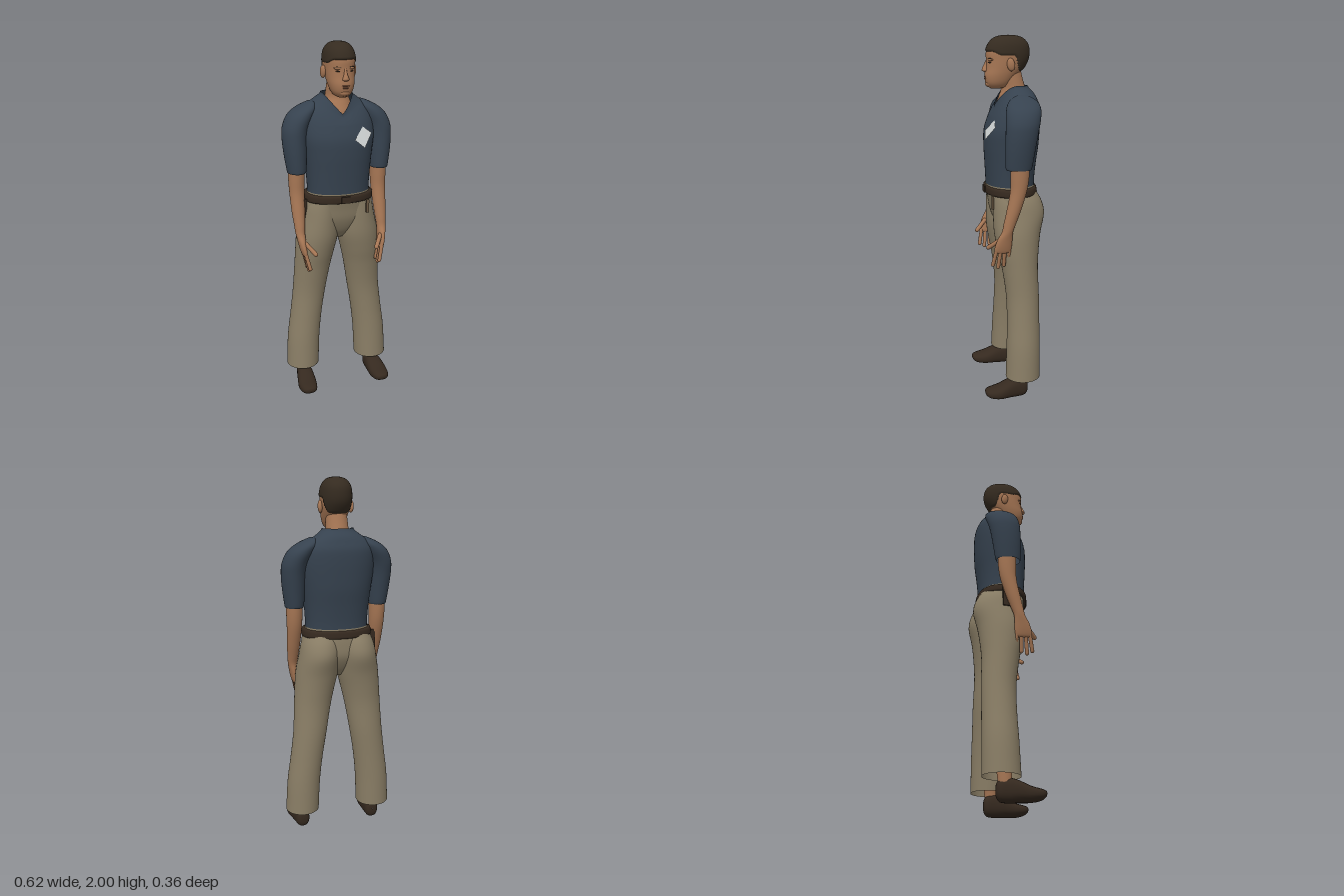
import * as THREE from 'three';

const mat = (name, color, side = THREE.FrontSide) => {
  const m = new THREE.MeshStandardMaterial({ color, side });
  m.name = name;
  return m;
};

// Smooth loft through horizontal ellipses [y, cx, cz, rx, rz], listed bottom to top.
// power < 1 squares the ellipse; shape(point, theta, centre) may move each vertex.
function loft(sections, { n = 32, per = 5, power = 1, s = 1, shape } = {}) {
  const V = THREE.Vector3;
  const path = new THREE.CatmullRomCurve3(sections.map(q => new V(q[1] * s, q[0], q[2])), false, 'catmullrom', 0.5);
  const radii = new THREE.CatmullRomCurve3(sections.map(q => new V(q[3], q[4], 0)), false, 'catmullrom', 0.5);
  const rows = (sections.length - 1) * per;
  const pos = [], idx = [];
  const bend = v => Math.sign(v) * Math.pow(Math.abs(v), power);
  for (let i = 0; i <= rows; i++) {
    const c = path.getPoint(i / rows), r = radii.getPoint(i / rows);
    for (let j = 0; j < n; j++) {
      const a = j / n * Math.PI * 2;
      const p = new V(c.x + Math.max(r.x, 0.0005) * bend(Math.cos(a)), c.y, c.z + Math.max(r.y, 0.0005) * bend(Math.sin(a)));
      if (shape) shape(p, a, c);
      pos.push(p.x, p.y, p.z);
      if (i < rows) {
        const A = i * n + j, B = i * n + (j + 1) % n, C = A + n, D = B + n;
        idx.push(A, C, B, B, C, D);
      }
    }
  }
  const g = new THREE.BufferGeometry();
  g.setAttribute('position', new THREE.Float32BufferAttribute(pos, 3));
  g.setIndex(idx);
  g.computeVertexNormals();
  return g;
}

export function createModel() {
  const root = new THREE.Group();
  const skin = mat('skin', 0xa67654);
  const lipColor = mat('lip brown', 0x855840);
  const hairColor = mat('hair brown', 0x352b20);
  const shirt = mat('navy cloth', 0x36424f, THREE.DoubleSide);
  const khaki = mat('khaki cloth', 0x8a7e66, THREE.DoubleSide);
  const leather = mat('dark leather', 0x35291f);
  const white = mat('badge white', 0xcdd1d1, THREE.DoubleSide);
  const strapColor = mat('strap brown', 0x6a5842);

  const add = (name, geo, material, parent = root) => {
    const m = new THREE.Mesh(geo, material);
    m.name = name;
    parent.add(m);
    return m;
  };
  const blob = (name, material, p, r) => {
    const m = add(name, new THREE.SphereGeometry(1, 20, 14), material);
    m.position.set(...p);
    m.scale.set(...r);
    return m;
  };
  const finger = (name, a, b, r, parent) => {
    const A = new THREE.Vector3(...a), B = new THREE.Vector3(...b), d = B.clone().sub(A);
    const m = add(name, new THREE.CapsuleGeometry(r, d.length() - r, 5, 12), skin, parent);
    m.position.copy(A).add(B).multiplyScalar(0.5);
    m.quaternion.setFromUnitVectors(new THREE.Vector3(0, 1, 0), d.normalize());
  };

  // Shirt body: the top rings dip at the front to make the V neck
  add('shirtBody', loft([
    [1.19, 0, -0.008, 0.172, 0.13], [1.25, 0, -0.008, 0.174, 0.132], [1.33, 0, -0.01, 0.18, 0.138],
    [1.42, 0, -0.014, 0.19, 0.146], [1.5, 0, -0.018, 0.2, 0.147], [1.57, 0, -0.03, 0.2, 0.137],
    [1.63, 0, -0.042, 0.19, 0.122], [1.67, 0, -0.045, 0.165, 0.105], [1.7, 0, -0.045, 0.125, 0.09],
    [1.725, 0, -0.038, 0.092, 0.074], [1.738, 0, -0.035, 0.085, 0.068]], {
    n: 48, power: 0.88,
    shape: (p, a) => {
      const k = THREE.MathUtils.clamp((p.y - 1.57) / 0.165, 0, 1);
      const f = Math.sin(a) > 0 ? 1 - Math.abs(Math.cos(a)) : 0;
      p.y -= 0.105 * k * f;
      p.z += 0.045 * k * f;
    },
  }), shirt);

  // Neck and upper chest
  add('neck', loft([
    [1.54, 0, -0.01, 0.08, 0.1], [1.63, 0, -0.018, 0.082, 0.088], [1.68, 0, -0.024, 0.074, 0.075],
    [1.72, 0, -0.028, 0.063, 0.066], [1.77, 0, -0.018, 0.059, 0.062], [1.83, 0, -0.005, 0.055, 0.06]]), skin);

  // Head, and a hair shell that rises out of it above the hairline
  const headRings = [
    [1.722, 0, 0.068, 0.022, 0.025], [1.733, 0, 0.055, 0.042, 0.055], [1.755, 0, 0.051, 0.057, 0.072],
    [1.79, 0, 0.039, 0.068, 0.089], [1.83, 0, 0.02, 0.075, 0.102], [1.87, 0, 0.008, 0.079, 0.111],
    [1.91, 0, 0.005, 0.08, 0.114], [1.95, 0, 0.001, 0.073, 0.104], [1.98, 0, 0, 0.053, 0.076],
    [1.993, 0, 0, 0.028, 0.04], [1.996, 0, 0, 0.001, 0.001]];
  add('head', loft(headRings, { n: 48, power: 0.92 }), skin);
  add('hair', loft(headRings, {
    n: 72, per: 10, power: 0.92,
    shape: (p, a, c) => {
      const line = 1.815 + 0.08 * THREE.MathUtils.smoothstep(p.z, -0.05, -0.02)
        + 0.02 * THREE.MathUtils.smoothstep(p.z, 0.05, 0.1);
      const out = THREE.MathUtils.clamp((p.y - line) * 0.6, -0.006, 0.005);
      const k = 1 + out / 0.09;
      p.x *= k;
      p.z = c.z + (p.z - c.z) * k;
      if (p.y > 1.93) p.y += 0.004 * THREE.MathUtils.smoothstep(p.y, 1.93, 1.98);
    },
  }), hairColor);
  add('nose', loft([
    [1.808, 0, 0.122, 0.008, 0.005], [1.816, 0, 0.124, 0.018, 0.018], [1.826, 0, 0.124, 0.015, 0.018],
    [1.846, 0, 0.118, 0.009, 0.015], [1.872, 0, 0.114, 0.006, 0.006]], { n: 20 }), skin);
  blob('upperLip', lipColor, [0, 1.785, 0.119], [0.025, 0.005, 0.013]);
  blob('lowerLip', lipColor, [0, 1.775, 0.119], [0.022, 0.006, 0.012]);
  blob('chin', skin, [0, 1.748, 0.105], [0.028, 0.018, 0.02]);

  // Trouser seat
  add('trouserSeat', loft([
    [0.93, 0, -0.02, 0.04, 0.05], [0.98, 0, -0.02, 0.11, 0.09], [1.05, 0, -0.022, 0.19, 0.122],
    [1.12, 0, -0.018, 0.2, 0.13], [1.18, 0, -0.01, 0.182, 0.133], [1.207, 0, -0.008, 0.176, 0.133]],
  { n: 48, power: 0.92 }), khaki);

  // Belt
  add('belt', loft([
    [1.153, 0, -0.01, 0.175, 0.12], [1.157, 0, -0.01, 0.194, 0.142], [1.176, 0, -0.009, 0.195, 0.144],
    [1.196, 0, -0.008, 0.189, 0.14], [1.2, 0, -0.008, 0.17, 0.122]], { n: 48, per: 3, power: 0.88 }), leather);
  add('buckle', new THREE.BoxGeometry(0.05, 0.036, 0.008), leather).position.set(0, 1.177, 0.136);
  add('keyStrap', new THREE.BoxGeometry(0.016, 0.075, 0.012), strapColor).position.set(0.132, 1.125, 0.114);
  add('holster', new THREE.BoxGeometry(0.035, 0.12, 0.06), leather).position.set(-0.207, 1.11, 0);

  // Tilted chest badge
  const badge = new THREE.BufferGeometry();
  badge.setAttribute('position', new THREE.Float32BufferAttribute(
    [0.105, 1.565, 0.096, 0.047, 1.504, 0.138, 0.1, 1.46, 0.148, 0.154, 1.53, 0.102], 3));
  badge.setIndex([0, 1, 2, 0, 2, 3]);
  badge.computeVertexNormals();
  add('badge', badge, white);

  for (const s of [1, -1]) {
    const side = s > 0 ? 'left' : 'right';

    // Face details
    blob(side + 'Ear', skin, [s * 0.085, 1.848, 0.003], [0.013, 0.034, 0.021]).rotation.set(0.15, -s * 0.3, 0);
    blob(side + 'Eye', hairColor, [s * 0.034, 1.858, 0.106], [0.014, 0.004, 0.007]).rotation.y = s * 0.35;
    blob(side + 'Brow', hairColor, [s * 0.034, 1.878, 0.107], [0.02, 0.003, 0.006]).rotation.y = s * 0.35;
    blob(side + 'BrowRidge', skin, [s * 0.032, 1.873, 0.102], [0.026, 0.008, 0.012]).rotation.y = s * 0.35;

    // Sleeve
    add(side + 'Sleeve', loft([
      [1.318, 0.236, -0.005, 0.05, 0.066], [1.335, 0.236, -0.006, 0.053, 0.071], [1.42, 0.24, -0.012, 0.061, 0.079],
      [1.5, 0.241, -0.02, 0.066, 0.085], [1.56, 0.232, -0.028, 0.07, 0.09], [1.62, 0.202, -0.038, 0.071, 0.092],
      [1.66, 0.168, -0.044, 0.055, 0.078], [1.688, 0.14, -0.045, 0.022, 0.04], [1.693, 0.135, -0.045, 0.001, 0.001]],
    { s }), shirt);

    // Arm, palm and fingers
    const arm = new THREE.Group();
    arm.name = side + 'Arm';
    root.add(arm);
    add('forearmAndPalm', loft([
      [0.862, 0.222, 0.08, 0.003, 0.01], [0.87, 0.223, 0.08, 0.013, 0.042], [0.9, 0.228, 0.077, 0.018, 0.046],
      [0.945, 0.234, 0.068, 0.022, 0.04], [0.985, 0.238, 0.056, 0.026, 0.03], [1.03, 0.238, 0.043, 0.03, 0.033],
      [1.1, 0.238, 0.022, 0.036, 0.038], [1.2, 0.237, -0.003, 0.041, 0.044], [1.28, 0.237, -0.01, 0.044, 0.05],
      [1.38, 0.237, -0.012, 0.045, 0.052]], { s, n: 24 }), skin, arm);
    const tips = [[0.112, 0.13, 0.785], [0.09, 0.101, 0.77], [0.067, 0.07, 0.78], [0.046, 0.034, 0.805]];
    for (const [z0, z1, y] of tips) {
      finger('finger', [s * 0.225, 0.885, z0], [s * 0.203, y + 0.006, z1], 0.0105, arm);
    }
    finger('thumb', [s * 0.222, 0.94, 0.09], [s * 0.174, 0.884, 0.152], 0.012, arm);

    // Trouser leg, open at the hem
    add(side + 'TrouserLeg', loft([
      [0.125, 0.214, -0.038, 0.095, 0.097], [0.3, 0.205, -0.042, 0.094, 0.094], [0.45, 0.187, -0.045, 0.092, 0.091],
      [0.6, 0.166, -0.045, 0.095, 0.092], [0.75, 0.148, -0.034, 0.103, 0.1], [0.85, 0.134, -0.027, 0.111, 0.114],
      [0.95, 0.118, -0.026, 0.118, 0.129], [1.05, 0.105, -0.036, 0.112, 0.142], [1.12, 0.096, -0.03, 0.105, 0.135],
      [1.18, 0.085, -0.015, 0.09, 0.118]], { s, n: 40 }), khaki);

    // Ankle and shoe
    add(side + 'Ankle', loft([
      [0.08, 0.22, -0.02, 0.03, 0.036], [0.15, 0.217, -0.025, 0.032, 0.038], [0.35, 0.2, -0.035, 0.045, 0.05]],
    { s, n: 20 }), skin);
    const shoe = loft([
      [-0.066, 0.212, -0.062, 0.001, 0.001], [-0.062, 0.212, -0.06, 0.025, 0.034], [-0.045, 0.213, -0.058, 0.038, 0.053],
      [-0.01, 0.215, -0.06, 0.043, 0.06], [0.04, 0.219, -0.056, 0.05, 0.054], [0.1, 0.224, -0.043, 0.054, 0.039],
      [0.15, 0.225, -0.042, 0.045, 0.028], [0.175, 0.224, -0.046, 0.028, 0.016], [0.182, 0.224, -0.048, 0.001, 0.001]],
    { s, n: 28, power: 0.85 });
    shoe.rotateX(Math.PI / 2);
    add(side + 'Shoe', shoe, leather);
  }
  return root;
}
